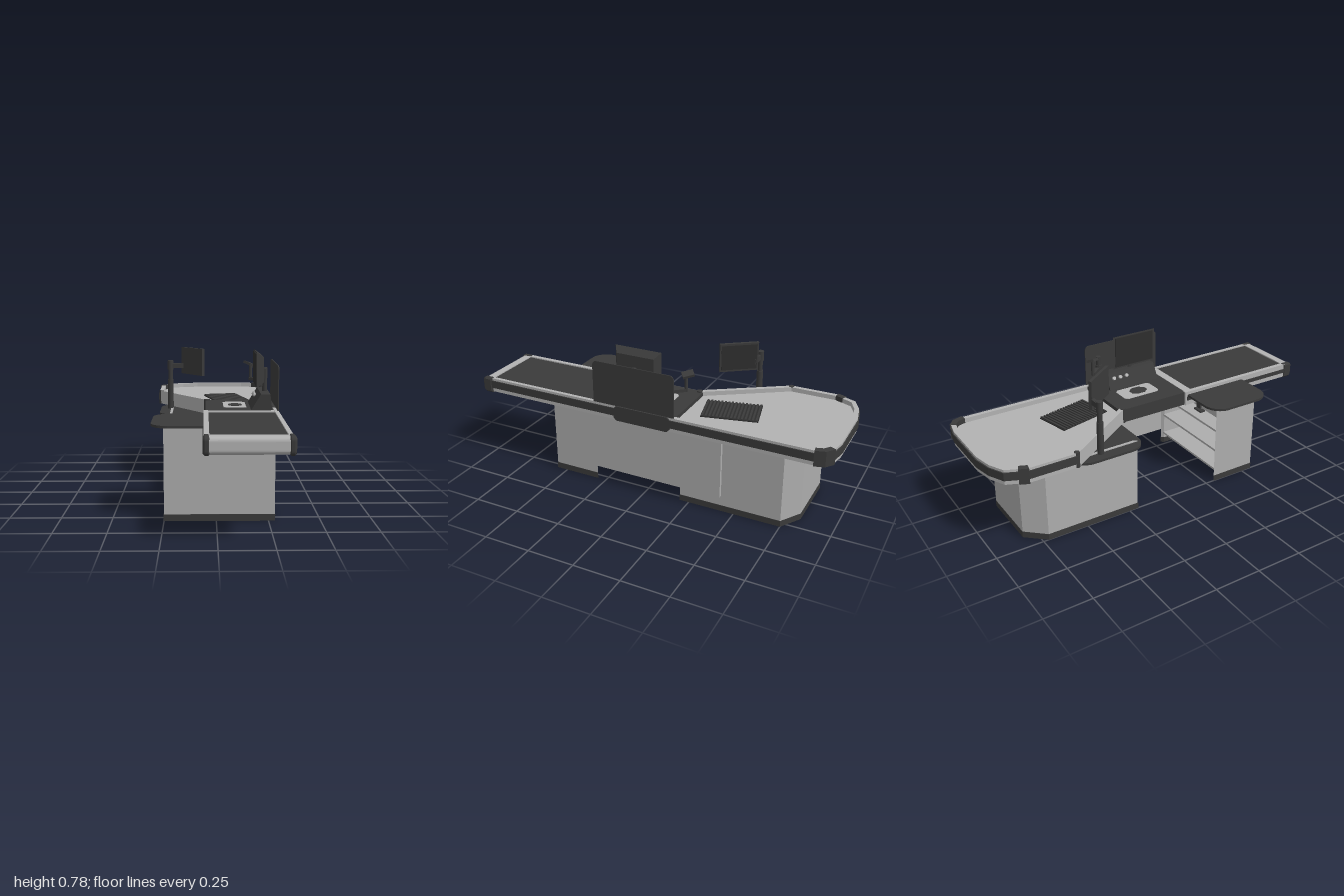
import * as THREE from 'three';

const mat = (name, color) => {
  const m = new THREE.MeshStandardMaterial({ color });
  m.name = name;
  return m;
};

export function createModel() {
  const root = new THREE.Group();
  root.name = 'checkoutCounter';
  const grey = mat('cabinetGrey', 0xadadad);
  const rim = mat('railGrey', 0xb2b2b2);
  const dark = mat('darkPlastic', 0x3a3a3a);
  const black = mat('screenBlack', 0x2d2d2d);

  const add = (name, geo, m, x = 0, y = 0, z = 0, parent = root) => {
    const mesh = new THREE.Mesh(geo, m);
    mesh.name = name;
    mesh.position.set(x, y, z);
    parent.add(mesh);
    return mesh;
  };
  // box given by its limits
  const box = (name, m, x0, x1, y0, y1, z0, z1, parent = root) =>
    add(name, new THREE.BoxGeometry(x1 - x0, y1 - y0, z1 - z0), m,
      (x0 + x1) / 2, (y0 + y1) / 2, (z0 + z1) / 2, parent);
  const post = (name, m, r, x, z, y0, y1, sides = 20) =>
    add(name, new THREE.CylinderGeometry(r, r, y1 - y0, sides), m, x, (y0 + y1) / 2, z);
  const vec = (pts) => pts.map(([x, y]) => new THREE.Vector2(x, y));
  // plan outlines are counter-clockwise in (x, -z)
  const slabShape = (name, m, shape, y0, y1) => {
    const g = new THREE.ExtrudeGeometry(shape, { depth: y1 - y0, bevelEnabled: false, curveSegments: 8 });
    return add(name, g.rotateX(-Math.PI / 2), m, 0, y0, 0);
  };
  const slab = (name, m, pts, y0, y1) => slabShape(name, m, new THREE.Shape(vec(pts)), y0, y1);
  // mitred inset of a closed outline
  const inset = (pts, d) => pts.map((p, i) => {
    const n = pts.length, a = pts[(i + n - 1) % n], b = pts[(i + 1) % n];
    const nor = (u, v) => {
      const l = Math.hypot(v[0] - u[0], v[1] - u[1]);
      return [-(v[1] - u[1]) / l, (v[0] - u[0]) / l];
    };
    const n1 = nor(a, p), n2 = nor(p, b);
    const k = d / (1 + n1[0] * n2[0] + n1[1] * n2[1]);
    return [p[0] + (n1[0] + n2[0]) * k, p[1] + (n1[1] + n2[1]) * k];
  });
  // strip along part of an outline
  const strip = (name, m, pts, a, b, out, width, y0, y1) => {
    const o = inset(pts, -out).slice(a, b + 1);
    const i = inset(pts, width).slice(a, b + 1).reverse();
    return slab(name, m, o.concat(i), y0, y1);
  };

  // cabinets: open-sided shells on dark plinths
  const cabinet = (name, pts) => {
    const last = pts.length - 1;
    strip(name + 'Walls', grey, pts, 0, last, 0, 0.014, 0.033, 0.406);
    strip(name + 'Plinth', dark, pts, 0, last, 0.002, 0.014, 0, 0.033);
    slab(name + 'Top', grey, inset(pts, 0.012), 0.388, 0.4);
  };
  cabinet('rearCabinet', [[0.28, 0.2], [0.28, 0.75], [0.17, 0.82], [-0.16, 0.82], [-0.25, 0.72], [-0.25, 0.2]]);
  cabinet('frontCabinet', [[-0.25, -0.3], [-0.25, -0.56], [0.28, -0.56], [0.28, -0.3]]);
  for (const y of [0.06, 0.2]) box('rearShelf', grey, -0.24, 0.27, y, y + 0.012, -0.5, -0.21);
  box('rearDivider', grey, -0.24, 0.27, 0.05, 0.39, -0.51, -0.5);
  for (const y of [0.06, 0.18, 0.3]) box('frontShelf', grey, -0.24, 0.27, y, y + 0.012, 0.31, 0.55);
  box('frontCabinetRiser', grey, -0.25, -0.05, 0.4, 0.46, 0.3, 0.56);
  box('modestyPanel', grey, 0.28, 0.299, 0.088, 0.408, -0.43, 0.355);

  // side wings with rounded outer corners
  const wing = (name, z0, z1, y0, y1, x1) => {
    const s = new THREE.Shape(), r = 0.09, x0 = -0.31, a = -z1, b = -z0;
    s.moveTo(x0 + r, a);
    s.lineTo(x1, a);
    s.lineTo(x1, b);
    s.lineTo(x0 + r, b);
    s.absarc(x0 + r, b - r, r, Math.PI / 2, Math.PI, false);
    s.lineTo(x0, a + r);
    s.absarc(x0 + r, a + r, r, Math.PI, Math.PI * 1.5, false);
    slabShape(name, dark, s, y0, y1);
  };
  wing('frontWing', 0.245, 0.62, 0.459, 0.471, -0.045);
  wing('rearWing', -0.57, -0.175, 0.39, 0.402, -0.05);

  // bagging tray: raised rim, floor, bumper on the outer sides
  const tray = [[0.32, 0.16], [0.32, 0.9], [0.305, 0.95], [0.265, 0.98], [0.19, 0.994], [-0.1, 0.994],
    [-0.2, 0.974], [-0.28, 0.935], [-0.306, 0.875], [-0.325, 0.83], [-0.325, 0.575], [-0.045, 0.15]];
  strip('trayRim', rim, tray, 0, 11, 0, 0.024, 0.41, 0.488);
  slab('trayFloor', rim, inset(tray, 0.02), 0.45, 0.464);
  slab('trayUnderside', dark, inset(tray, 0.022), 0.406, 0.45);
  strip('trayBumper', dark, tray, 0, 10, 0.006, 0.004, 0.433, 0.475);
  for (const [a, b] of [[1, 3], [8, 9]])
    strip('trayCornerGuard', dark, tray, a, b, 0.007, 0.025, 0.408, 0.49);
  post('trayDiagonalGuard', dark, 0.014, -0.315, -0.578, 0.409, 0.49);
  post('trayInnerGuard', dark, 0.016, -0.04, -0.16, 0.409, 0.49);

  // ribbed mat in the tray
  const ribbedMat = new THREE.Group();
  ribbedMat.name = 'ribbedMat';
  ribbedMat.position.set(0.07, 0.464, -0.39);
  ribbedMat.rotation.y = 0.23;
  root.add(ribbedMat);
  box('matBase', black, -0.095, 0.095, 0, 0.005, -0.147, 0.147, ribbedMat);
  for (let i = 0; i < 16; i++) {
    const z = -0.138 + i * 0.0184;
    box('matRib', dark, -0.095, 0.095, 0.004, 0.011, z - 0.005, z + 0.005, ribbedMat);
  }

  // conveyor
  box('conveyorBody', dark, -0.04, 0.305, 0.408, 0.47, 0.23, 0.935);
  box('conveyorBelt', dark, -0.037, 0.302, 0.47, 0.482, 0.28, 0.935);
  box('beltEndStrip', rim, -0.037, 0.302, 0.47, 0.486, 0.235, 0.28);
  box('innerRail', rim, -0.06, -0.036, 0.41, 0.488, 0.23, 0.95);
  box('outerRail', rim, 0.3, 0.32, 0.41, 0.488, -0.18, 0.95);
  box('outerBumper', dark, 0.318, 0.326, 0.433, 0.475, -0.18, 0.95);
  box('innerBumper', dark, -0.064, -0.058, 0.437, 0.459, 0.24, 0.95);
  // centre cover with chamfered ends
  const cover = new THREE.Shape(vec([[-0.16, 0.425], [-0.145, 0.409], [0.145, 0.409], [0.16, 0.425],
    [0.16, 0.475], [0.145, 0.49], [-0.145, 0.49], [-0.16, 0.475]]));
  add('railCentreCover', new THREE.ExtrudeGeometry(cover, { depth: 0.028, bevelEnabled: false }).rotateY(Math.PI / 2), dark, 0.3);

  // flat-fronted nose and its end caps, profile in (-z, y) extruded along x
  const noseProfile = (grow) => {
    const s = new THREE.Shape(), f = -0.99 - grow, b = -0.933, y0 = 0.408 - grow, y1 = 0.487 + grow, r = 0.022;
    s.moveTo(b, y0);
    s.lineTo(b, y1);
    s.lineTo(f + r, y1);
    s.absarc(f + r, y1 - r, r, Math.PI / 2, Math.PI, false);
    s.absarc(f + r, y0 + r, r, Math.PI, Math.PI * 1.5, false);
    return s;
  };
  add('conveyorNose', new THREE.ExtrudeGeometry(noseProfile(0), { depth: 0.345, bevelEnabled: false, curveSegments: 5 })
    .rotateY(Math.PI / 2), rim, -0.04);
  const cap = new THREE.ExtrudeGeometry(noseProfile(0.004), {
    depth: 0.014, bevelThickness: 0.009, bevelSize: 0.009, bevelOffset: -0.009, bevelSegments: 1, curveSegments: 5,
  }).rotateY(Math.PI / 2);
  for (const x of [0.307, -0.056]) add('noseCap', cap, dark, x);

  // scanning counter
  box('scannerCounter', dark, -0.05, 0.302, 0.41, 0.484, -0.18, 0.235);
  const plate = new THREE.Shape(vec([[0.045, -0.115], [0.06, -0.13], [0.15, -0.13], [0.165, -0.115],
    [0.165, 0.07], [0.15, 0.085], [0.06, 0.085], [0.045, 0.07]]));
  slabShape('scannerPlate', rim, plate, 0.482, 0.486);
  add('scannerWindow', new THREE.CylinderGeometry(0.042, 0.042, 0.004, 8).rotateY(Math.PI / 8), dark, 0.108, 0.4855, 0.03)
    .scale.set(0.95, 1, 1.25);
  box('keyBracket', dark, -0.15, -0.12, 0.41, 0.46, 0.262, 0.275);
  box('keyBracketFoot', dark, -0.18, -0.12, 0.41, 0.418, 0.245, 0.275);

  // monitor console with knobs
  const consoleShape = new THREE.Shape(vec([[0.185, 0.484], [0.293, 0.484], [0.283, 0.565], [0.235, 0.565]]));
  add('monitorConsole', new THREE.ExtrudeGeometry(consoleShape, { depth: 0.31, bevelEnabled: false }), dark, 0, 0, -0.1);
  for (const z of [-0.06, -0.02, 0.02])
    add('consoleKnob', new THREE.CylinderGeometry(0.01, 0.01, 0.014, 16), rim, 0.214, 0.538, z).rotation.z = 0.99;

  // monitor: housing tapers toward the back
  const housing = new THREE.BoxGeometry(0.038, 0.186, 0.262);
  const p = housing.attributes.position;
  for (let i = 0; i < p.count; i++)
    if (p.getX(i) > 0) p.setXYZ(i, p.getX(i), p.getY(i) * 0.7, p.getZ(i) * 0.8);
  housing.computeVertexNormals();
  add('monitorHousing', housing, dark, 0.232, 0.686, 0.07);
  box('monitorScreen', black, 0.209, 0.214, 0.603, 0.77, -0.05, 0.19);
  box('monitorMount', dark, 0.245, 0.268, 0.635, 0.685, 0.04, 0.1);
  post('monitorPost', dark, 0.013, 0.264, 0.07, 0.56, 0.69);

  // payment terminal on its post
  post('terminalPost', dark, 0.013, 0.258, -0.13, 0.482, 0.67);
  post('terminalCollar', dark, 0.017, 0.258, -0.13, 0.59, 0.62);
  const arm = box('terminalArm', dark, -0.04, 0.04, 0.594, 0.61, -0.01, 0.01);
  arm.position.set(0.228, 0.602, -0.165);
  arm.rotation.y = -0.85;
  post('terminalStem', dark, 0.009, 0.205, -0.195, 0.594, 0.675);
  const terminal = add('paymentTerminal', new THREE.BoxGeometry(0.042, 0.014, 0.06), dark, 0.198, 0.685, -0.2);
  terminal.rotation.set(0.25, 0.6, -0.45);

  // privacy shield with rounded upper corners
  const s = new THREE.Shape();
  s.moveTo(-0.28, 0.488);
  s.lineTo(0.18, 0.488);
  s.lineTo(0.18, 0.69);
  s.absarc(0.155, 0.691, 0.025, 0, Math.PI / 2, false);
  s.lineTo(-0.255, 0.716);
  s.absarc(-0.255, 0.691, 0.025, Math.PI / 2, Math.PI, false);
  add('privacyShield', new THREE.ExtrudeGeometry(s, { depth: 0.005, bevelEnabled: false }).rotateY(Math.PI / 2), dark, 0.315);

  // customer display on its pole
  post('displayPoleBase', dark, 0.017, -0.253, -0.415, 0.4, 0.575);
  post('displayPole', dark, 0.013, -0.253, -0.415, 0.57, 0.64);
  post('displayPoleCollar', dark, 0.017, -0.253, -0.415, 0.632, 0.686);
  box('displayArm', dark, -0.25, -0.16, 0.642, 0.67, -0.422, -0.402);
  const display = new THREE.Group();
  display.name = 'customerDisplay';
  display.position.set(-0.122, 0.687, -0.342);
  display.rotation.y = -0.94;
  root.add(display);
  box('displayHousing', dark, -0.103, 0.103, -0.077, 0.077, -0.008, 0.008, display);
  box('displayScreen', black, -0.095, 0.095, -0.067, 0.067, -0.01, -0.006, display);

  return root;
}
